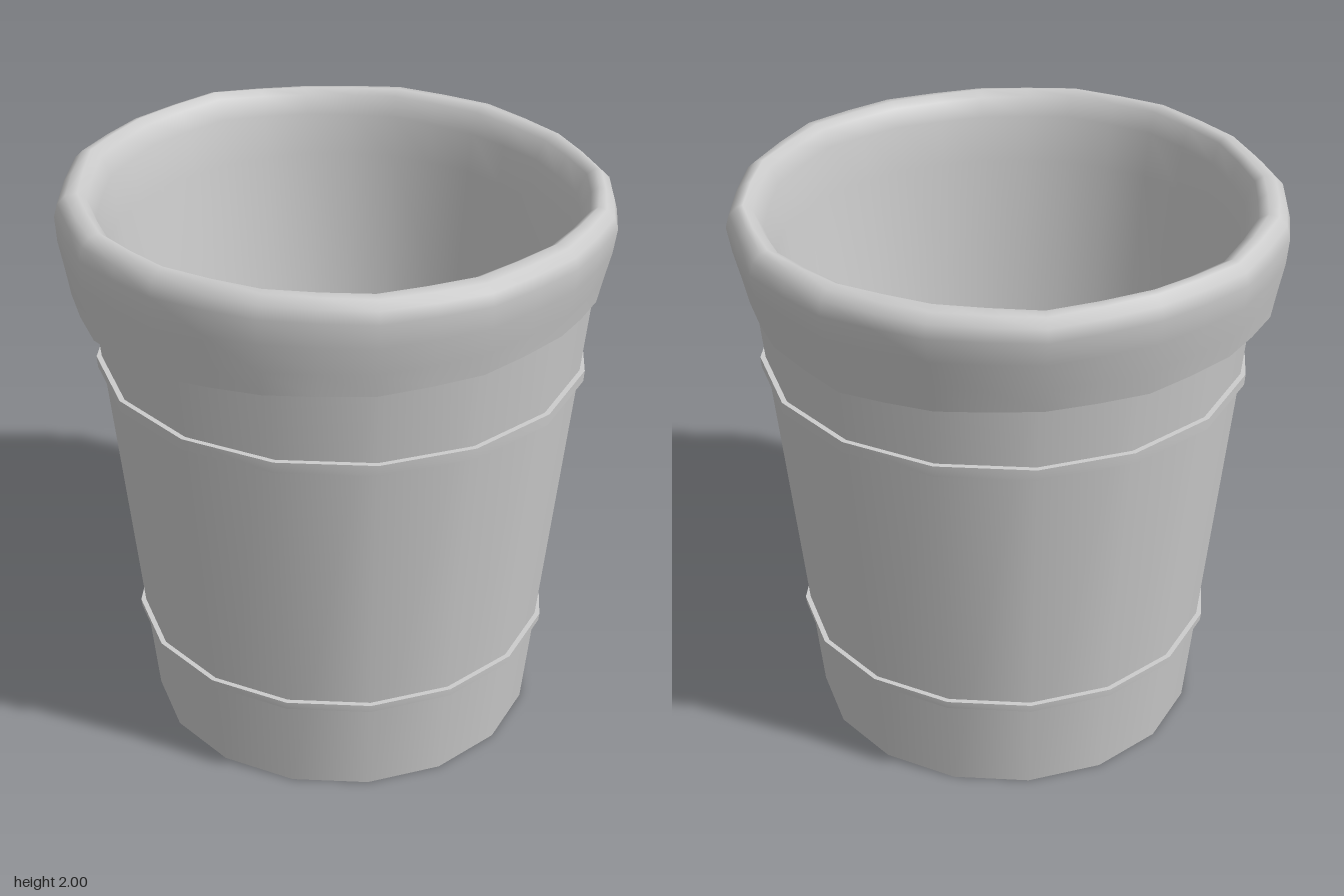
import * as THREE from 'three';
import { mergeVertices, toCreasedNormals } from 'three/addons/utils/BufferGeometryUtils.js';

const SIDES = 16;
const material = new THREE.MeshStandardMaterial({ color: 0xcccccc, side: THREE.DoubleSide });
const points = (list) => list.map(([r, y]) => new THREE.Vector2(r, y));
const bodyRadius = (y) => 0.683 + 0.103 * y;

function addMesh(parent, name, geometry) {
  const mesh = new THREE.Mesh(geometry, material);
  mesh.name = name;
  parent.add(mesh);
  return mesh;
}

function lathe(profile) {
  return toCreasedNormals(new THREE.LatheGeometry(points(profile), SIDES), Math.PI / 5);
}

// Value around the rim, interpolated between 16 samples starting at the front (+z) towards +x
function around(values, t) {
  const f = t * values.length;
  const i = Math.floor(f);
  return THREE.MathUtils.lerp(values[i % values.length], values[(i + 1) % values.length], f - i);
}

// Heights of the uneven hem and of the wavy folded edge
const HEM = [1.66, 1.67, 1.68, 1.645, 1.615, 1.62, 1.6, 1.62, 1.635, 1.64, 1.65, 1.63, 1.62, 1.62, 1.63, 1.655];
const RIM = [1.99, 1.99, 1.995, 1.985, 1.975, 1.97, 1.98, 1.985, 1.98, 2, 1.99, 2, 1.985, 1.99, 2, 2];

function linerGeometry() {
  const segments = SIDES * 2;
  // From the hem up over the fold, down the inside wall to the rounded floor
  const profile = [
    [0.89, 1.63], [0.907, 1.72], [0.93, 1.83], [0.94, 1.92], [0.928, 1.965], [0.9, 1.993],
    [0.87, 2], [0.84, 1.98], [0.81, 1.91], [0.79, 1.75], [0.75, 1.4], [0.7, 0.95],
    [0.645, 0.5], [0.6, 0.23], [0.54, 0.11], [0.42, 0.06], [0.22, 0.05], [0, 0.06],
  ];
  const geometry = new THREE.LatheGeometry(points(profile), segments);
  const position = geometry.attributes.position;
  for (let i = 0; i <= segments; i++) {
    const t = (i % segments) / segments;
    const a = t * Math.PI * 2;
    const hem = around(HEM, t);
    const rim = around(RIM, t);
    for (let j = 0; j < profile.length; j++) {
      const k = i * profile.length + j;
      const [r, y] = profile[j];
      const upper = THREE.MathUtils.clamp((y - 1.63) / 0.37, 0, 1);
      // Odd columns lie close to the chord, so the outline stays 16-sided
      let radius = r * (i % 2 ? 0.988 : 1);
      // The hem hangs looser towards the front and the model's right
      if (j < 3) radius += 0.02 * Math.cos(a + 0.6) * (1 - upper);
      // Uneven inner lip and loose cloth ripples inside
      if (j > 5 && j < 15) radius += 0.01 * Math.sin(3 * a + j * 0.5);
      const height = j < 9 ? THREE.MathUtils.lerp(hem, rim, upper) : y;
      position.setXYZ(k, radius * Math.sin(a), height, radius * Math.cos(a));
    }
  }
  geometry.deleteAttribute('uv');
  geometry.deleteAttribute('normal');
  const welded = mergeVertices(geometry, 1e-4);
  welded.computeVertexNormals();
  return welded;
}

export function createModel() {
  const model = new THREE.Group();
  model.name = 'linedBin';

  // Tapered bin, slightly off-centre under the liner
  const bin = new THREE.Group();
  bin.name = 'bin';
  bin.position.set(0.013, 0, 0.025);
  model.add(bin);
  addMesh(bin, 'binWall', new THREE.CylinderGeometry(bodyRadius(1.8), bodyRadius(0), 1.8, SIDES, 1, true))
    .position.y = 0.9;
  // Base, very slightly domed inwards
  addMesh(bin, 'binBase', lathe([[0, 0.02], [0.4, 0.015], [bodyRadius(0), 0]]));

  // Raised hoops
  for (const [name, low, high] of [['lowerHoop', 0.35, 0.378], ['upperHoop', 1.352, 1.392]]) {
    const r = bodyRadius(high) + 0.018;
    addMesh(bin, name, lathe([
      [bodyRadius(low) - 0.01, low], [r - 0.003, low], [r, high], [bodyRadius(high) - 0.01, high],
    ]));
  }

  // Bag folded over the rim
  addMesh(model, 'liner', linerGeometry());
  return model;
}
